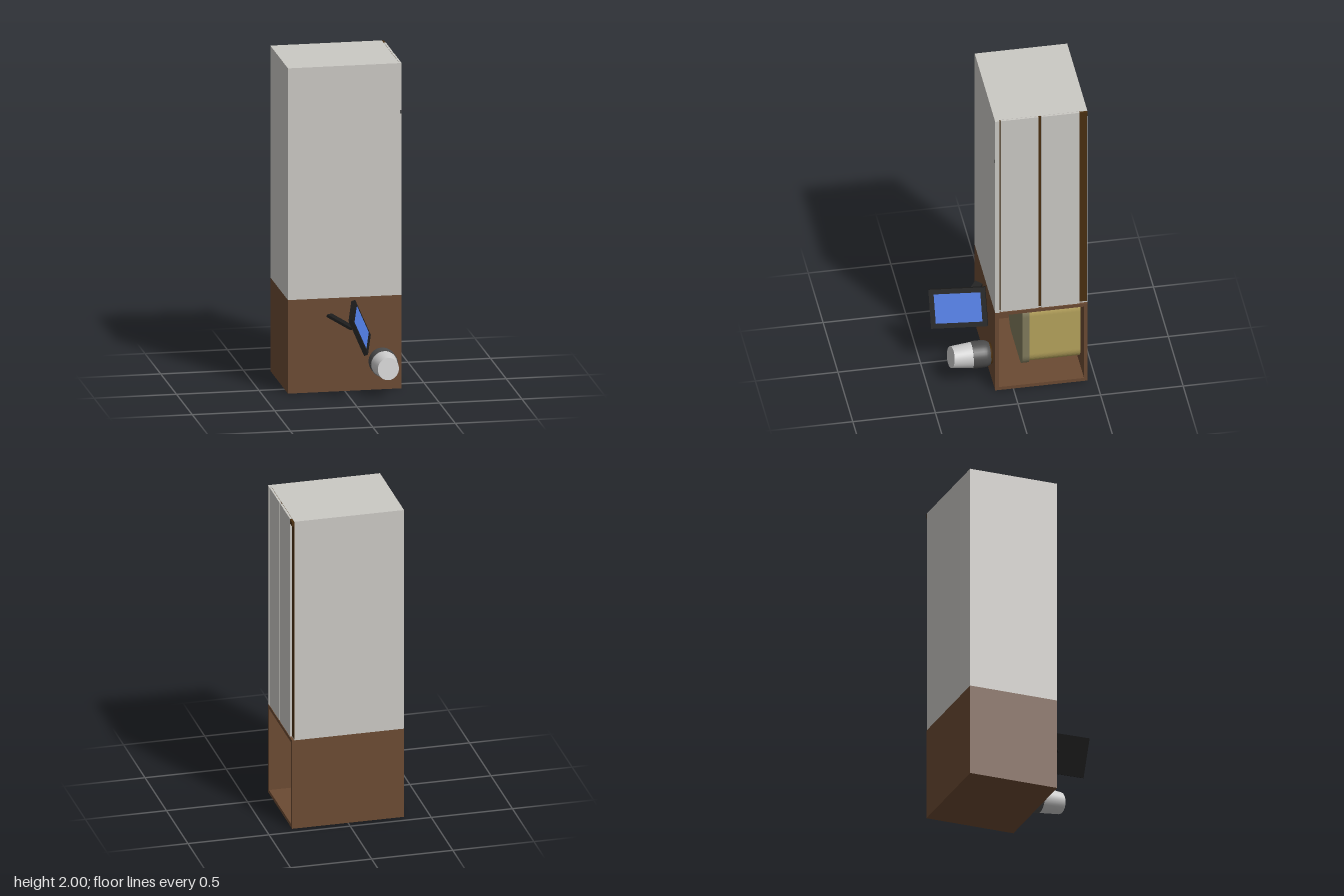
import * as THREE from 'three';

const paint = (color) => new THREE.MeshStandardMaterial({ color, side: THREE.DoubleSide });
const grey = paint(0xcbc9c4), brown = paint(0x6b4a32), darkBrown = paint(0x4a2f10);
const black = paint(0x1c1c1c), blue = paint(0x4f7be0), charcoal = paint(0x4c4c4c);
const yellow = paint(0xb5a25c), olive = paint(0x807a5c), pale = paint(0xbdbdbd);

export function createModel() {
  const model = new THREE.Group();

  const add = (name, geometry, material, parent = model) => {
    const mesh = new THREE.Mesh(geometry, material);
    mesh.name = name;
    parent.add(mesh);
    return mesh;
  };
  // Box given by its lower and upper limits on each axis
  const box = (name, material, [x0, x1], [y0, y1], [z0, z1], parent = model) => {
    const mesh = add(name, new THREE.BoxGeometry(x1 - x0, y1 - y0, z1 - z0), material, parent);
    mesh.position.set((x0 + x1) / 2, (y0 + y1) / 2, (z0 + z1) / 2);
    return mesh;
  };

  // Tall upper cabinet with a front panel and two side doors
  const upper = [0.575, 2];
  box('cabinetBody', grey, [-0.345, 0.331], upper, [-0.45, 0.085]);
  box('sideRecess', darkBrown, [0.331, 0.333], [0.585, 1.998], [-0.449, 0.085]);
  box('frontPanel', grey, [-0.345, 0.345], upper, [0.085, 0.11]);
  for (const z of [[-0.152, 0.076], [-0.4, -0.17]]) box('sideDoor', grey, [0.333, 0.345], [0.58, 2], z);
  box('recessTab', darkBrown, [0.333, 0.345], [1.97, 1.998], [-0.449, -0.4]);
  box('lockPlate', charcoal, [0.334, 0.343], [1.69, 1.712], [0.11, 0.112]);

  // Lower compartment, open on its left side
  const lower = new THREE.Group();
  lower.name = 'lowerCompartment';
  model.add(lower);
  const t = 0.022, X = [-0.345, 0.345], Z = [-0.45, 0.11];
  box('floor', brown, X, [0, t], Z, lower);
  box('ceiling', brown, X, [0.575 - t, 0.575], Z, lower);
  box('frontWall', brown, X, [t, 0.575 - t], [Z[1] - t, Z[1]], lower);
  box('backWall', brown, X, [t, 0.575 - t], [Z[0], Z[0] + t], lower);
  box('endWall', brown, [X[0], X[0] + t], [t, 0.575 - t], [Z[0] + t, Z[1] - t], lower);

  // Rounded bin lying inside with its lid to the front
  const slab = (w, h, r, depth) => {
    const s = new THREE.Shape();
    for (const [cx, cy, a] of [[1, -1, -0.5], [1, 1, 0], [-1, 1, 0.5], [-1, -1, 1]])
      s.absarc(cx * (w / 2 - r), cy * (h / 2 - r), r, a * Math.PI, (a + 0.5) * Math.PI);
    return new THREE.ExtrudeGeometry(s, { depth, bevelEnabled: false, curveSegments: 10 });
  };
  add('binBody', slab(0.45, 0.46, 0.09, 0.31), yellow).position.set(0, 0.29, -0.428);
  add('binLid', slab(0.47, 0.475, 0.095, 0.043), olive).position.set(0, 0.29, -0.118);

  // Groups turned so that x runs along u, y along v (made square to u)
  const oriented = (name, position, u, v) => {
    const g = new THREE.Group();
    g.name = name;
    const x = new THREE.Vector3(...u).normalize();
    const z = new THREE.Vector3().crossVectors(x, new THREE.Vector3(...v)).normalize();
    const y = new THREE.Vector3().crossVectors(z, x);
    g.quaternion.setFromRotationMatrix(new THREE.Matrix4().makeBasis(x, y, z));
    g.position.set(...position);
    model.add(g);
    return g;
  };

  // Screen standing out from the front, held by a slanted arm
  const screen = oriented('screen', [0.057, 0.428, 0.282], [-0.08, -0.035, 0.328], [0.095, -0.22, 0]);
  box('screenFrame', black, [-0.17, 0.17], [-0.12, 0.12], [-0.0125, 0.0125], screen);
  box('screenDisplay', blue, [-0.14, 0.14], [-0.09, 0.09], [0.012, 0.0135], screen);
  const arm = oriented('screenArm', [-0.035, 0.445, 0.19], [0.125, -0.06, 0.12], [-0.08, -0.035, 0.328]);
  box('arm', black, [-0.095, 0.085], [-0.025, 0.025], [-0.008, 0.008], arm);

  // Lamp: rounded socket and tapered shade, turned to point forward
  const lamp = new THREE.Group();
  lamp.name = 'lamp';
  lamp.position.set(0.217, 0.186, 0.11);
  lamp.rotation.x = Math.PI / 2;
  model.add(lamp);
  const lathe = (points) => new THREE.LatheGeometry(points.map((p) => new THREE.Vector2(...p)), 32);
  add('lampBase', lathe([[0, 0], [0.06, 0], [0.068, 0.013]]), darkBrown, lamp);
  add('lampSocket', lathe([[0.067, 0.012], [0.076, 0.026], [0.081, 0.04], [0.083, 0.055],
    [0.083, 0.12]]), charcoal, lamp);
  add('lampSocketEnd', lathe([[0.083, 0.12], [0, 0.12]]), charcoal, lamp);

  // The far end of the shade is cut at a slant
  const slant = (geometry) => {
    const p = geometry.attributes.position;
    for (let i = 0; i < p.count; i++)
      if (p.getY(i) > 0.2) p.setY(i, p.getY(i) - 0.15 * p.getX(i) + 0.15 * p.getZ(i));
    geometry.computeVertexNormals();
    return geometry;
  };
  add('lampShade', slant(lathe([[0.079, 0.118], [0.066, 0.246]])), pale, lamp);
  add('lampShadeEnd', slant(lathe([[0.066, 0.246], [0, 0.246]])), pale, lamp);

  return model;
}
